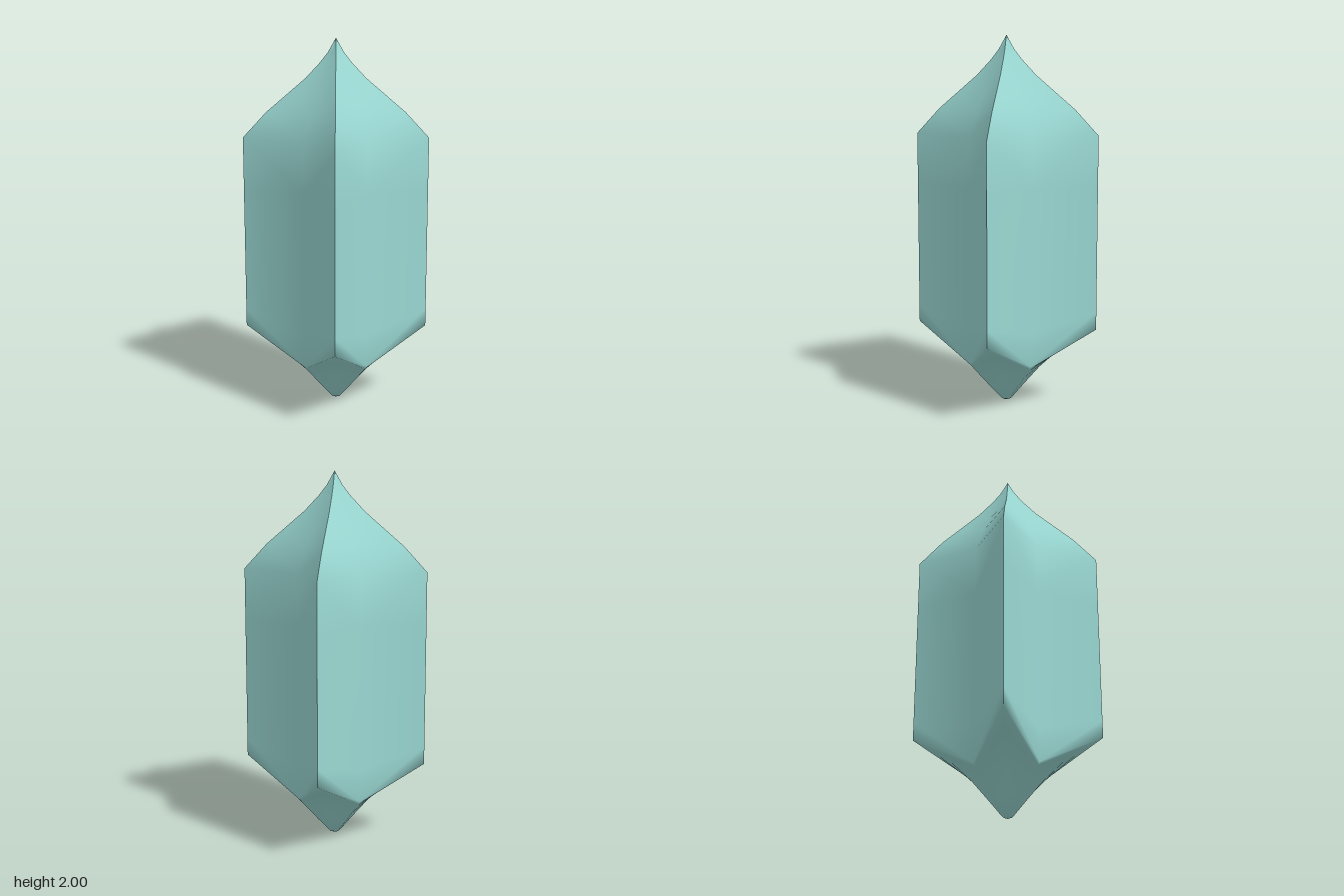
import * as THREE from 'three';
import { toCreasedNormals } from 'three/addons/utils/BufferGeometryUtils.js';

// Cross-sections from bottom to top: [ridge y, ridge radius, valley y, valley x = z]
const RINGS = [
  [0, 0, 0, 0],
  [0.015, 0.03, 0.012, 0.02],
  [0.1, 0.1, 0.095, 0.075],
  [0.2, 0.185, 0.165, 0.12],
  [0.3, 0.29, 0.21, 0.148],
  [0.36, 0.385, 0.23, 0.16],
  [0.425, 0.495, 0.245, 0.167],
  [0.52, 0.495, 0.42, 0.167],
  [1.2, 0.495, 1.2, 0.167],
  [1.475, 0.495, 1.475, 0.165],
  [1.61, 0.37, 1.61, 0.128],
  [1.7, 0.265, 1.7, 0.098],
  [1.79, 0.16, 1.79, 0.067],
  [1.87, 0.085, 1.87, 0.039],
  [1.925, 0.042, 1.925, 0.02],
  [2, 0, 2, 0],
];

// Four-pointed star column: even corners are ridges, odd corners are valleys
function starCrystalGeometry() {
  const positions = [];
  const corner = (i, k) => {
    const [ridgeY, ridgeR, valleyY, valleyX] = RINGS[i];
    const ridge = k % 2 === 0;
    const r = ridge ? ridgeR : valleyX * Math.SQRT2;
    const a = ((k % 8) * Math.PI) / 4;
    return [r * Math.cos(a), ridge ? ridgeY : valleyY, r * Math.sin(a)];
  };
  const triangle = (...points) => points.forEach((p) => positions.push(...p));

  const last = RINGS.length - 2;
  for (let i = 0; i <= last; i++) {
    for (let k = 0; k < 8; k++) {
      const a = corner(i, k);
      const b = corner(i, k + 1);
      const c = corner(i + 1, k);
      const d = corner(i + 1, k + 1);
      if (i === 0) triangle(a, c, d);
      else if (i === last) triangle(a, c, b);
      else if (k % 2 === 0) {
        // Mirrored diagonals keep both sides of each arm alike
        triangle(a, c, b);
        triangle(b, c, d);
      } else {
        triangle(a, c, d);
        triangle(a, d, b);
      }
    }
  }
  const geometry = new THREE.BufferGeometry();
  geometry.setAttribute('position', new THREE.Float32BufferAttribute(positions, 3));
  // Soft valleys and shoulders, sharp ridges
  return toCreasedNormals(geometry, 1.4);
}

export function createModel() {
  const group = new THREE.Group();
  group.name = 'starCrystal';
  const crystal = new THREE.Mesh(
    starCrystalGeometry(),
    new THREE.MeshStandardMaterial({ color: 0x9ad8d3 })
  );
  crystal.name = 'crystal';
  group.add(crystal);
  return group;
}
